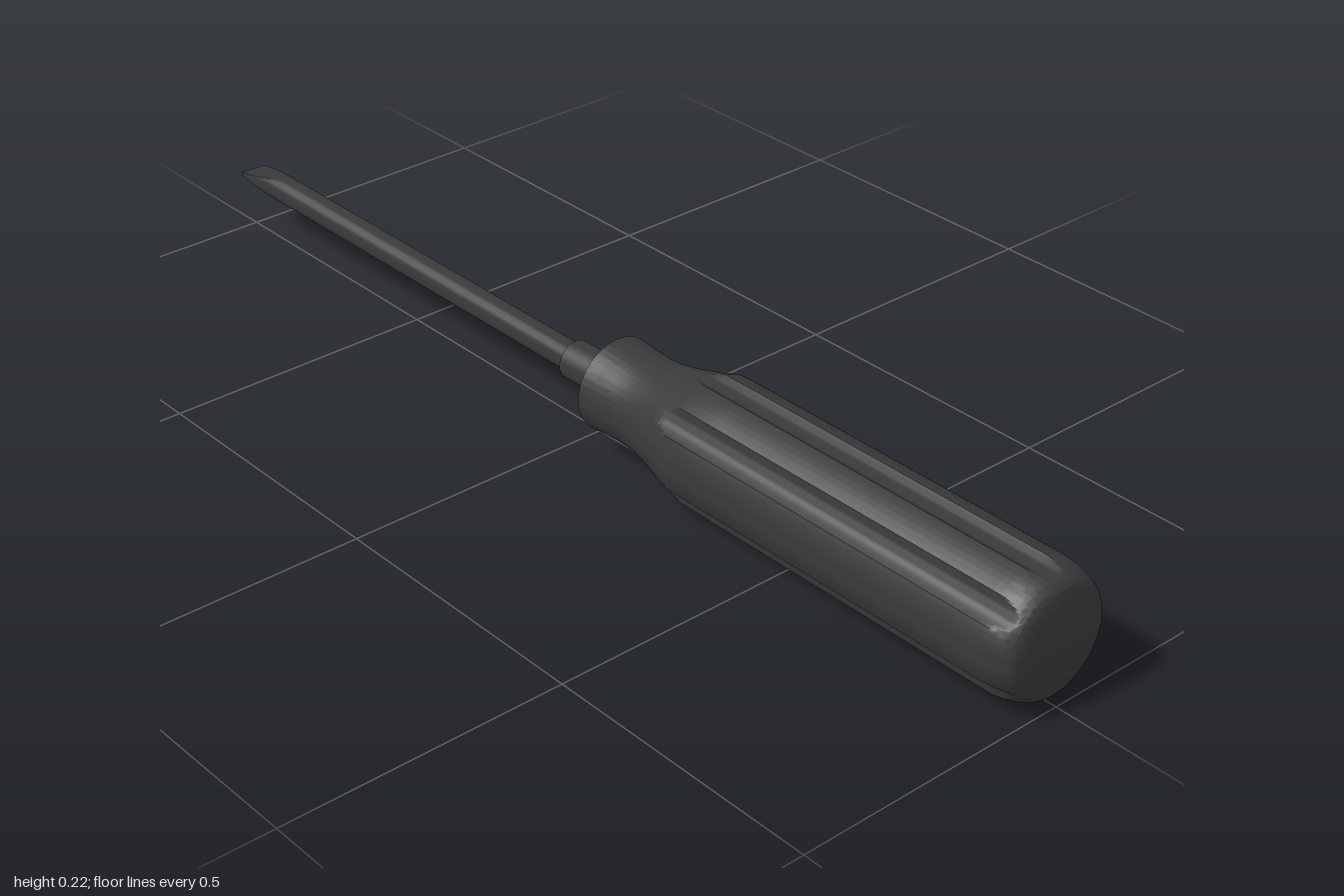
import * as THREE from 'three';
import { toCreasedNormals } from 'three/addons/utils/BufferGeometryUtils.js';

const AXIS_Y = 0.1095;
const material = new THREE.MeshStandardMaterial({ color: 0x3a3a3a });

// Turned part along x from [x, radius] points; reshape(vector) may move its vertices.
function turned(name, profile, segments, reshape) {
  const points = profile.map(([x, r]) => new THREE.Vector2(r, x));
  const geometry = new THREE.LatheGeometry(points, segments).rotateZ(-Math.PI / 2);
  if (reshape) {
    const pos = geometry.attributes.position;
    const v = new THREE.Vector3();
    for (let i = 0; i < pos.count; i++) {
      v.fromBufferAttribute(pos, i);
      reshape(v);
      pos.setXYZ(i, v.x, v.y, v.z);
    }
  }
  const mesh = new THREE.Mesh(toCreasedNormals(geometry, 0.5), material);
  mesh.name = name;
  mesh.position.y = AXIS_Y;
  return mesh;
}

// Handle outline: flared collar, waist, straight grip, rounded butt
function handleProfile() {
  const neck = new THREE.SplineCurve(
    [[0.043, 0.083], [0.08, 0.08], [0.13, 0.079], [0.18, 0.086], [0.235, 0.1], [0.275, 0.112]]
      .map(([x, r]) => new THREE.Vector2(x, r)));
  const profile = [[0.043, 0]];
  for (const p of neck.getPoints(50)) profile.push([p.x, p.y]);
  for (let i = 1; i <= 8; i++) profile.push([0.275 + i * 0.0813, 0.112]);
  // Quarter-round shoulder, then a slightly domed end
  for (let i = 0; i <= 20; i++) {
    const a = (i / 20) * Math.PI * 0.46;
    profile.push([0.93 + 0.066 * Math.sin(a), 0.084 + 0.028 * Math.cos(a)]);
  }
  profile.push([0.998, 0.06], [1, 0]);
  return profile;
}

// Six lengthwise scoops that run out where the handle gets thinner
const grooveAngles = [90, 37.5, -37.5, -90, 142.5, -142.5].map(THREE.MathUtils.degToRad);
const grooveHalf = THREE.MathUtils.degToRad(12.5);
function cutGrooves(v) {
  const r = Math.hypot(v.y, v.z);
  if (r < 0.05 || v.x < 0.2) return;
  const angle = Math.atan2(v.y, v.z);
  for (const g of grooveAngles) {
    const t = Math.abs(angle - g) / grooveHalf;
    if (t >= 1) continue;
    const k = Math.min(1, (0.1 + 0.012 * t * t) / r);
    v.y *= k;
    v.z *= k;
  }
}

// Blade tip: two flats converging to a thin edge
function cutTip(v) {
  if (v.x > -0.88) return;
  const half = THREE.MathUtils.mapLinear(v.x, -1, -0.88, 0.003, 0.025);
  v.y = THREE.MathUtils.clamp(v.y, -half, half);
}

export function createModel() {
  const group = new THREE.Group();
  group.name = 'screwdriver';

  group.add(turned('handle', handleProfile(), 144, cutGrooves));

  group.add(turned('ferrule',
    [[-0.062, 0], [-0.062, 0.035], [0.06, 0.035]], 32));

  const blade = [[-1, 0]];
  for (let i = 0; i <= 16; i++) blade.push([-1 + i * 0.0075, 0.025]);
  blade.push([-0.05, 0.025]);
  group.add(turned('blade', blade, 48, cutTip));

  return group;
}
